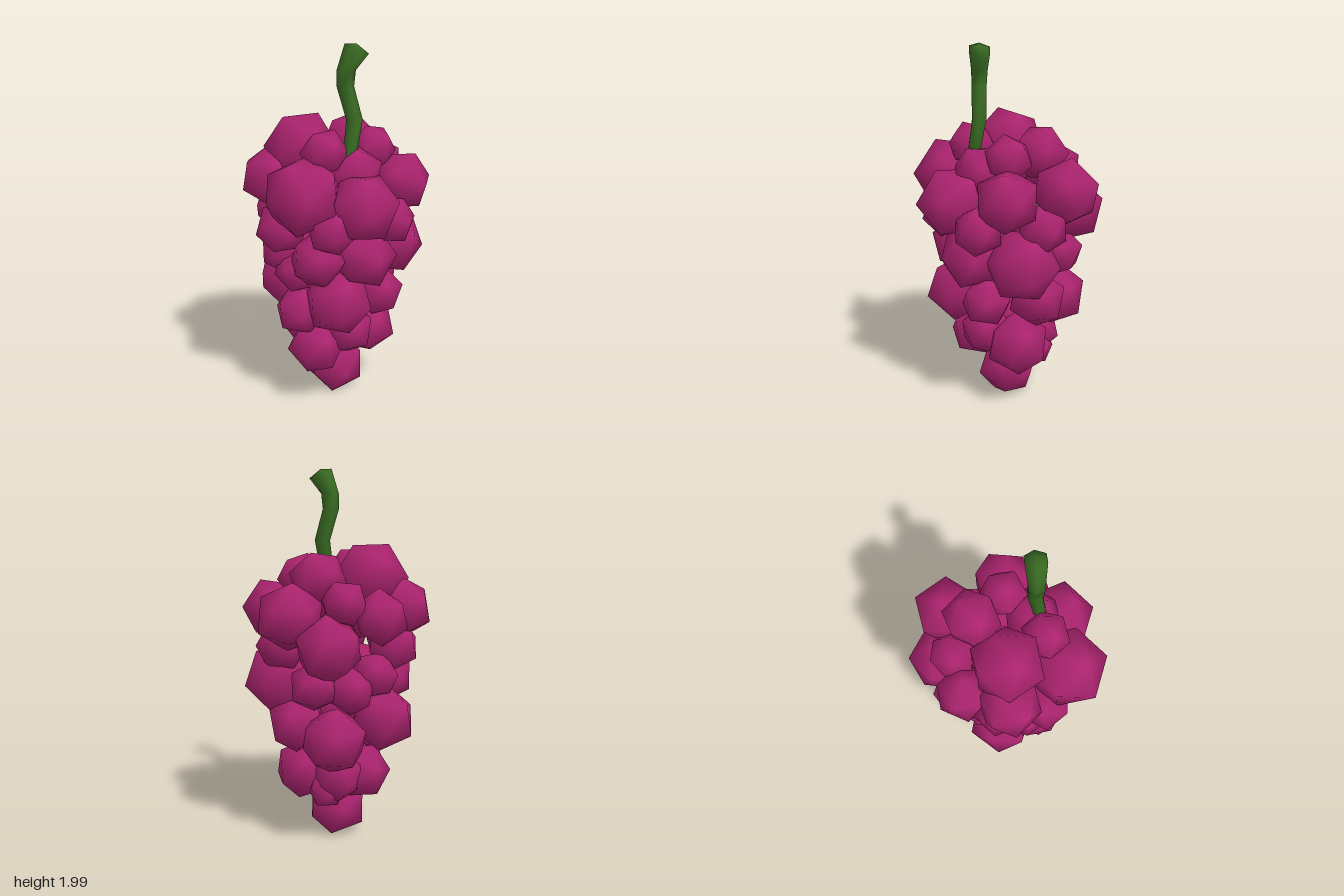
import * as THREE from 'three';
import { mergeVertices } from 'three/addons/utils/BufferGeometryUtils.js';

// Tiers of grapes around the axis; each grape:
// degrees from the front, radius, optional lift, optional shift outwards
const TIERS = [
  { name: 'shoulder', y: 1.43, spread: 0.19,
    grapes: [[-127, 0.18], [129, 0.14], [-49, 0.115, 0.02], [62, 0.115], [4, 0.14, -0.1, -0.03]] },
  { name: 'widest', y: 1.25, spread: 0.34,
    grapes: [[-61, 0.195, 0, -0.01], [-4, 0.175, -0.06, -0.03], [59, 0.155], [117, 0.165, 0, 0.02],
      [165, 0.115, 0.07, -0.04], [-164, 0.135, 0, 0.02], [-124, 0.155, 0.02, 0.01]] },
  { name: 'upper', y: 1.08, spread: 0.32,
    grapes: [[151, 0.165, 0.02, 0.03], [-90, 0.13, -0.04, 0.01], [-133, 0.13], [94, 0.125],
      [32, 0.125], [-34, 0.12]] },
  { name: 'middle', y: 0.89, spread: 0.27,
    grapes: [[75, 0.18, 0, 0.03], [7, 0.165, 0, -0.04], [-51, 0.14], [-108, 0.14], [-155, 0.12, 0.04],
      [174, 0.115, -0.03], [135, 0.125, 0, 0.02], [-85, 0.12, -0.09, -0.02]] },
  { name: 'lower', y: 0.66, spread: 0.25,
    grapes: [[-28, 0.17], [34, 0.125], [100, 0.145], [155, 0.165, -0.06, 0.02], [-134, 0.165, 0.02, 0.02],
      [-81, 0.13, -0.09]] },
  { name: 'tip', y: 0.38, spread: 0.17,
    grapes: [[81, 0.16], [-65, 0.145, -0.03, 0.02], [0, 0.13, 0.05, -0.04], [162, 0.13],
      [-146, 0.14], [140, 0.095, -0.08]] },
  { name: 'bottom', y: 0.16, spread: 0.015, grapes: [[180, 0.155]] },
];

// Stem rings: x, y, z, radius
const STEM = [
  [-0.03, 1.4, 0.18, 0.034], [0.01, 1.61, 0.165, 0.042], [-0.03, 1.78, 0.14, 0.044],
  [-0.025, 1.86, 0.14, 0.048], [0.02, 1.96, 0.165, 0.06],
];

export function createModel() {
  const model = new THREE.Group();
  const grapeSkin = new THREE.MeshStandardMaterial({ color: 0xad2470 });
  const stemGreen = new THREE.MeshStandardMaterial({ color: 0x3a6d23 });
  grapeSkin.name = 'grapeSkin';
  stemGreen.name = 'stemGreen';

  // One low-poly ball with round shading, shared by every grape
  const ball = new THREE.IcosahedronGeometry(1, 0);
  ball.setAttribute('normal', ball.attributes.position.clone());

  let turn = 0;
  for (const { name, y, spread, grapes } of TIERS) {
    const tier = new THREE.Group();
    tier.name = name + 'Grapes';
    for (const [degrees, radius, lift = 0, out = 0] of grapes) {
      const angle = THREE.MathUtils.degToRad(degrees);
      const reach = spread + out;
      const grape = new THREE.Mesh(ball, grapeSkin);
      grape.name = 'grape';
      grape.position.set(Math.sin(angle) * reach, y + lift, Math.cos(angle) * reach);
      grape.rotation.set(turn * 1.7, turn * 2.3, turn * 0.9);
      grape.scale.setScalar(radius * 1.11);
      tier.add(grape);
      turn++;
    }
    model.add(tier);
  }

  // Crooked six-sided stem: each ring of a cylinder follows the path
  const last = STEM.length - 1;
  const tube = new THREE.CylinderGeometry(1, 1, 1, 6, last);
  const pos = tube.attributes.position;
  for (let i = 0; i < pos.count; i++) {
    const k = Math.round((pos.getY(i) + 0.5) * last);
    const [x, y, z, r] = STEM[k];
    const dx = pos.getX(i) * r, dz = pos.getZ(i) * r;
    // slanted, slightly domed cut at the top
    const cut = k === last ? 0.03 - 0.4 * dx - 0.15 * dz - 0.4 * Math.hypot(dx, dz) : 0;
    pos.setXYZ(i, x + dx, y + cut, z + dz);
  }
  // weld the seams so the stem shades smoothly
  tube.deleteAttribute('normal');
  tube.deleteAttribute('uv');
  const stemShape = mergeVertices(tube);
  stemShape.computeVertexNormals();
  const stem = new THREE.Mesh(stemShape, stemGreen);
  stem.name = 'stem';
  model.add(stem);

  return model;
}
